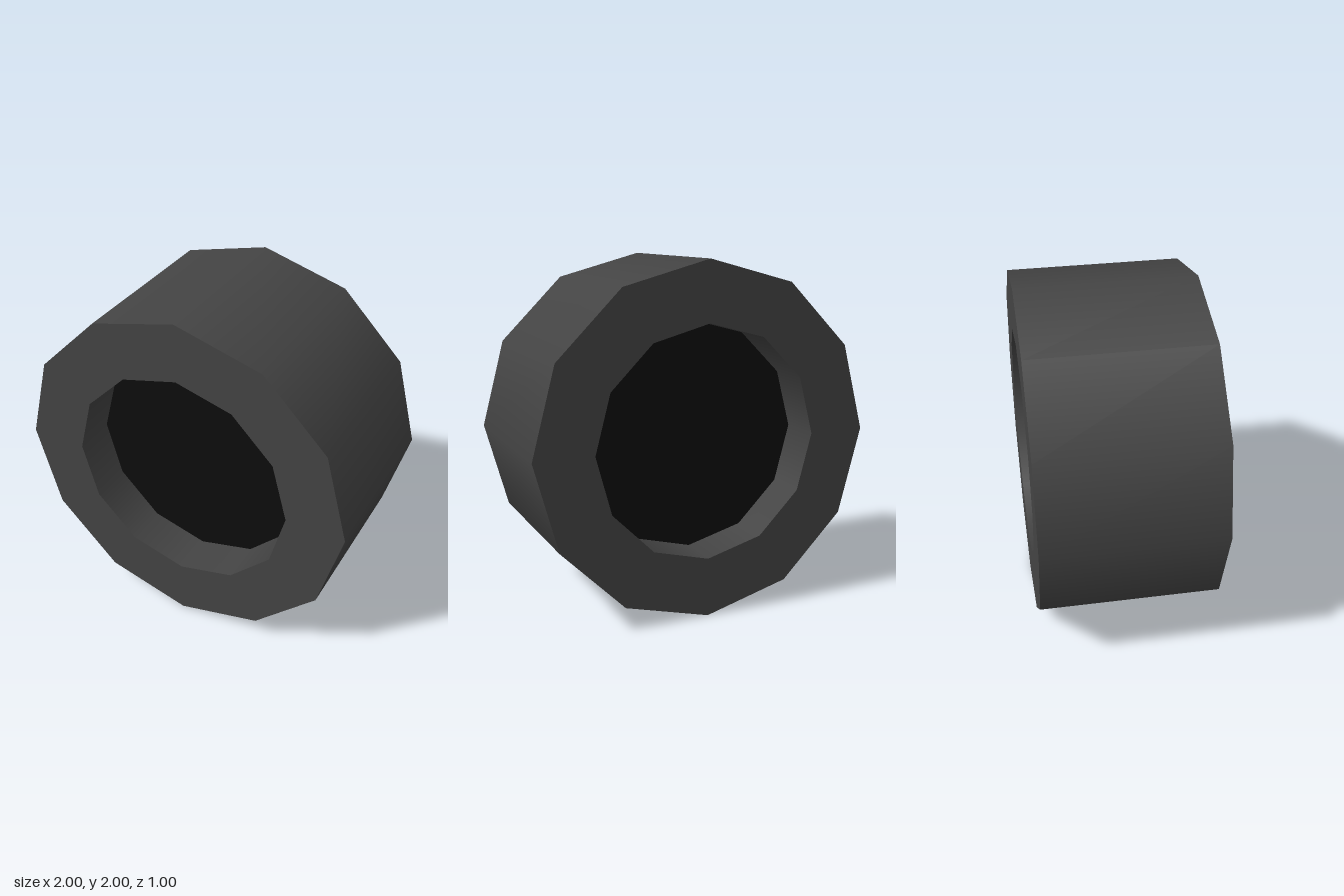
import * as THREE from 'three';

const SIDES = 12;
const OUTER = 1, INNER = 0.66, HALF = 0.5, FLOOR = 0.25;

export function createModel() {
  const group = new THREE.Group();
  group.name = 'wheel';
  const rubber = new THREE.MeshStandardMaterial({ color: 0x444444 });
  const dark = new THREE.MeshStandardMaterial({ color: 0x0d0d0d });

  // Each profile section is its own lathe: smooth around the axis, sharp at the rims
  const addBand = (name, material, from, to) => {
    const points = [new THREE.Vector2(...from), new THREE.Vector2(...to)];
    const geometry = new THREE.LatheGeometry(points, SIDES);
    geometry.rotateX(Math.PI / 2);
    const mesh = new THREE.Mesh(geometry, material);
    mesh.name = name;
    mesh.position.y = OUTER;
    group.add(mesh);
  };

  // Back recess and side, outer tread, then front side and recess
  addBand('backHub', dark, [0, -FLOOR], [INNER, -FLOOR]);
  addBand('backRecessWall', rubber, [INNER, -FLOOR], [INNER, -HALF]);
  addBand('backSidewall', rubber, [INNER, -HALF], [OUTER, -HALF]);
  addBand('tread', rubber, [OUTER, -HALF], [OUTER, HALF]);
  addBand('frontSidewall', rubber, [OUTER, HALF], [INNER, HALF]);
  addBand('frontRecessWall', rubber, [INNER, HALF], [INNER, FLOOR]);
  addBand('frontHub', dark, [INNER, FLOOR], [0, FLOOR]);

  return group;
}
